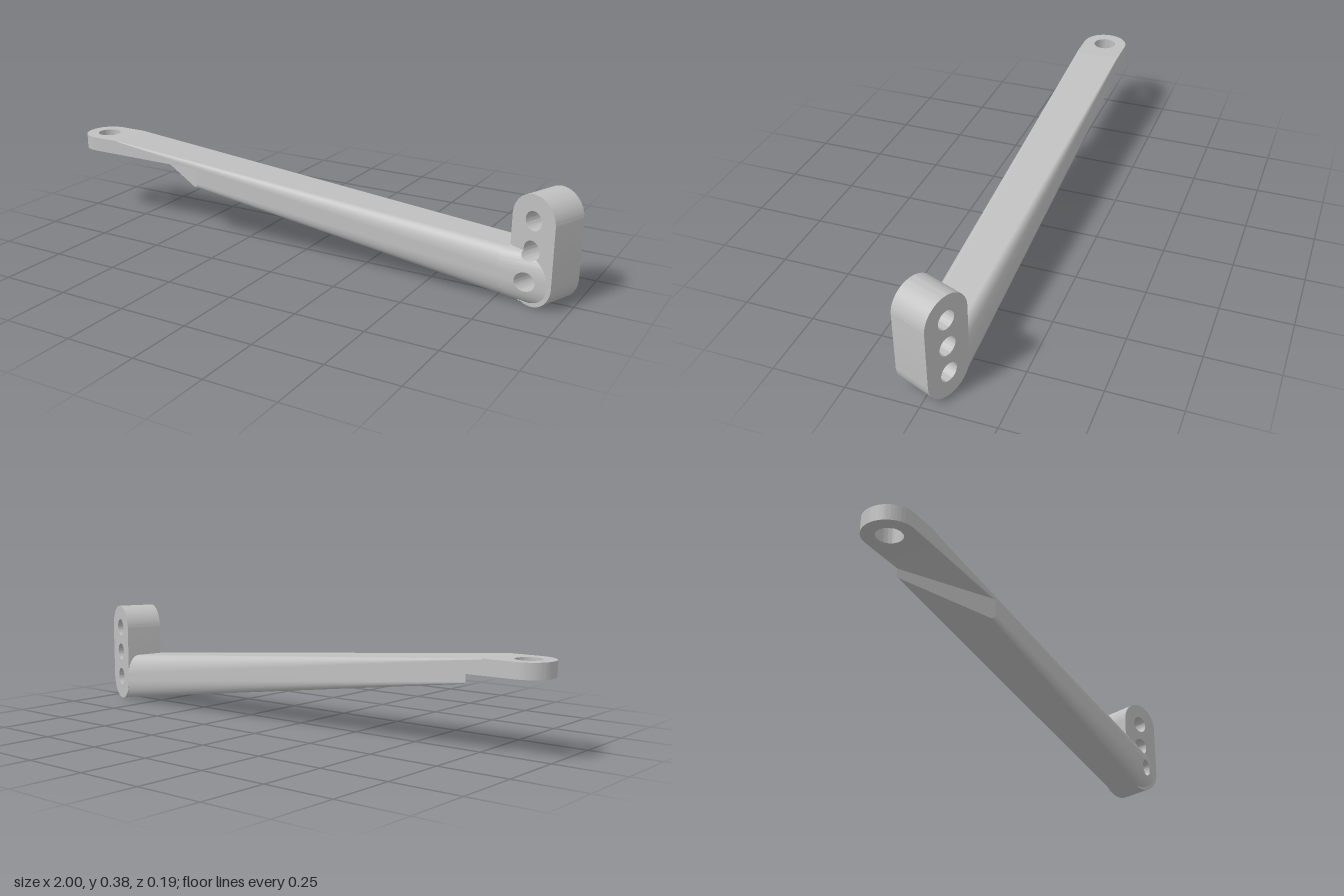
import * as THREE from 'three';
import { toCreasedNormals } from 'three/addons/utils/BufferGeometryUtils.js';

const grey = new THREE.MeshStandardMaterial({ color: 0xc0c0c0 });
grey.name = 'grey';

// Block placement: rounded half width R, half thickness T, turned about y
const R = 0.088, T = 0.069, H = 0.38, CX = 0.893, TURN = 0.375;
const COS = Math.cos(TURN), SIN = Math.sin(TURN);
const HOLE = 0.033, HOLES = [0.09, 0.192, 0.292];
const TAB_TOP = 0.315, TAB_BOTTOM = 0.262, TAB_END = -0.8;
const TOP_SLOPE = 0.08, BOTTOM_SLOPE = 0.14;

function addMesh(parent, name, geometry) {
  const mesh = new THREE.Mesh(geometry, grey);
  mesh.name = name;
  parent.add(mesh);
}

function addHole(shape, x, y, r) {
  const hole = new THREE.Path();
  hole.absarc(x, y, r, 0, Math.PI * 2, true);
  shape.holes.push(hole);
}

function extrude(shape, depth) {
  const g = new THREE.ExtrudeGeometry(shape, { depth, bevelEnabled: false, curveSegments: 32 });
  return toCreasedNormals(g, 0.5);
}

function buildGeometry(positions, index) {
  const g = new THREE.BufferGeometry();
  g.setAttribute('position', new THREE.Float32BufferAttribute(positions, 3));
  g.setIndex(index);
  return g;
}

// Tapered arm section at x: a rectangle with elliptical corners
function section(x) {
  const k = (x - TAB_END) / 1.6;
  return {
    top: TAB_TOP - TOP_SLOPE * (x - TAB_END),
    bottom: 0.23 - BOTTOM_SLOPE * (x + 0.74),
    front: 0.087 + 0.002 * k,
    back: -0.087 - 0.0095 * k,
    ry: 0.003 + 0.07 * k,
    rz: 0.003 + 0.037 * k,
  };
}

const ARC = 10, RING = 4 * (ARC + 1);
const cornerAngle = (i) => (Math.floor(i / (ARC + 1)) + (i % (ARC + 1)) / ARC) * Math.PI / 2;

function armPoint(i, x) {
  const s = section(x), a = cornerAngle(i), corner = Math.floor(i / (ARC + 1));
  const cz = corner === 0 || corner === 3 ? s.front - s.rz : s.back + s.rz;
  const cy = corner < 2 ? s.top - s.ry : s.bottom + s.ry;
  return [x, cy + s.ry * Math.sin(a), cz + s.rz * Math.cos(a)];
}

function armNormal(i, x) {
  const s = section(x), a = cornerAngle(i);
  const n = new THREE.Vector3(0, Math.sin(a) / s.ry, Math.cos(a) / s.rz).normalize();
  n.x = n.y * (n.y > 0 ? TOP_SLOPE : BOTTOM_SLOPE);
  return n.normalize().toArray();
}

// Where each lengthwise line of the arm starts or stops
const tabEnd = () => TAB_END;
const diagonalCut = (y, z) => -0.585 + 1.82 * z;
const halfWidth = (y) => {
  const d = THREE.MathUtils.clamp(R - y, 0, R);
  return Math.sqrt(R * R - d * d);
};
const blockSide = (y, z) => CX + (0.004 - halfWidth(y) - z * SIN) / COS;

// Ring of section points lying on the surface x = rule(y, z)
function armRing(rule, floor) {
  return Array.from({ length: RING }, (_, i) => {
    let p = armPoint(i, 0);
    for (let s = 0; s < 8; s++) p = armPoint(i, rule(p[1], p[2]));
    return { normal: armNormal(i, p[0]), point: [p[0], Math.max(p[1], floor), p[2]] };
  });
}

function loft(start, end) {
  const both = [...start, ...end], index = [];
  for (let i = 0; i < RING; i++) {
    const j = (i + 1) % RING;
    index.push(i, RING + i, j, j, RING + i, RING + j);
  }
  const g = buildGeometry(both.flatMap((v) => v.point), index);
  g.setAttribute('normal', new THREE.Float32BufferAttribute(both.flatMap((v) => v.normal), 3));
  return g;
}

// Flat face closing the convex start of a loft
function startCap(ring) {
  const index = [];
  for (let i = 1; i < RING - 1; i++) index.push(0, i, i + 1);
  const g = buildGeometry(ring.flatMap((v) => v.point), index);
  g.computeVertexNormals();
  return g;
}

// Flat round-ended tab with a vertical hole
function tabGeometry() {
  const s = new THREE.Shape();
  s.moveTo(TAB_END, -0.087);
  s.lineTo(TAB_END, 0.087);
  s.lineTo(-0.913, 0.087);
  s.absarc(-0.913, 0, 0.087, Math.PI / 2, Math.PI * 1.5, false);
  addHole(s, -0.913, 0, 0.043);
  return extrude(s, TAB_TOP - TAB_BOTTOM).rotateX(Math.PI / 2).translate(0, TAB_TOP, 0);
}

// Upright block with three through holes
function blockGeometry() {
  const s = new THREE.Shape();
  s.absarc(0, R, R, Math.PI, Math.PI * 2, false);
  s.absarc(0, H - R, R, 0, Math.PI, false);
  for (const y of HOLES) addHole(s, 0, y, HOLE);
  return extrude(s, 2 * T).translate(0, 0, -T);
}

// Front surface of the arm at x, as z for a height y
function armFront(x, y) {
  const s = section(x);
  if (y > s.top || y < s.bottom) return 0;
  const d = (y - THREE.MathUtils.clamp(y, s.bottom + s.ry, s.top - s.ry)) / s.ry;
  return s.front - s.rz + s.rz * Math.sqrt(Math.max(0, 1 - d * d));
}

// Distance from the block's middle plane out to the arm's front surface
function reach(u, y) {
  let t = T;
  for (let i = 0; i < 6; i++) t = (armFront(CX + u * COS - t * SIN, y) - u * SIN) / COS;
  return t;
}

// Wedge joining the arm to the block face, in rows left and right of the holes
function wedgeGeometry() {
  const pos = [], index = [], rows = 127, step = 0.0015;
  for (const side of [-1, 1]) {
    const first = pos.length / 3;
    for (let j = 0; j <= rows; j++) {
      const y = j * step, outer = halfWidth(y);
      const inner = Math.max(...HOLES.map((c) => Math.sqrt(Math.max(0, HOLE ** 2 - (y - c) ** 2))));
      const [a, b] = side < 0 ? [-outer, -inner] : [inner, outer];
      const ta = reach(a, y), tb = reach(b, y);
      pos.push(a, y, Math.min(T - 0.01, ta), a, y, ta, b, y, tb, b, y, Math.min(T - 0.01, tb));
    }
    for (let j = 0; j < rows; j++) {
      for (let k = 0; k < 3; k++) {
        const p = first + j * 4 + k;
        index.push(p, p + 1, p + 4, p + 1, p + 5, p + 4);
      }
    }
  }
  return toCreasedNormals(buildGeometry(pos, index), 0.5);
}

export function createModel() {
  const model = new THREE.Group();
  model.name = 'leverArm';
  const cut = armRing(diagonalCut, 0);
  addMesh(model, 'tab', tabGeometry());
  addMesh(model, 'armNeck', loft(armRing(tabEnd, TAB_BOTTOM), armRing(diagonalCut, TAB_BOTTOM)));
  addMesh(model, 'arm', loft(cut, armRing(blockSide, 0)));
  addMesh(model, 'armStep', startCap(cut));

  const head = new THREE.Group();
  head.name = 'head';
  head.position.x = CX;
  head.rotation.y = -TURN;
  addMesh(head, 'block', blockGeometry());
  addMesh(head, 'armWedge', wedgeGeometry());
  model.add(head);
  return model;
}
